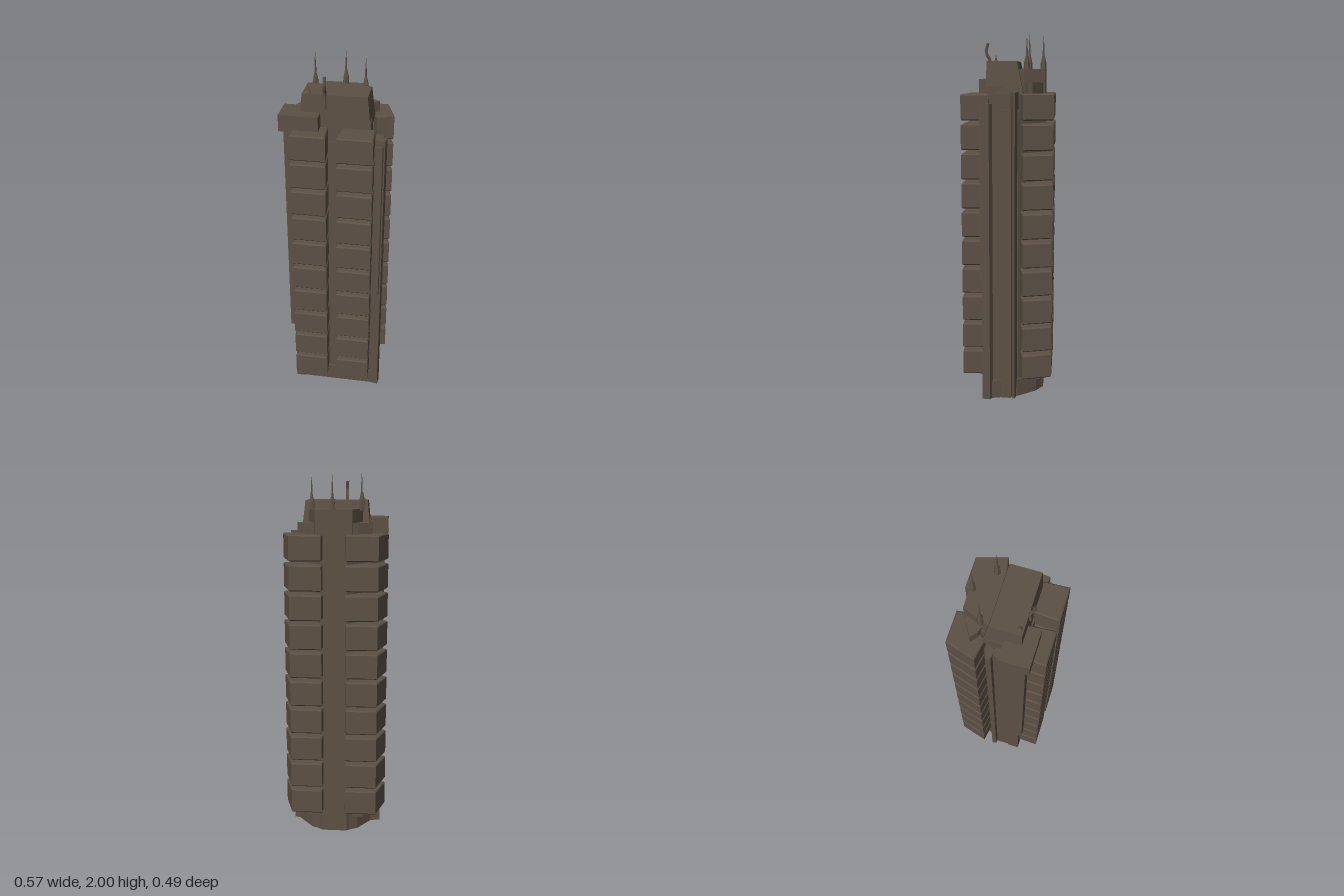
import * as THREE from 'three';

const stone = new THREE.MeshStandardMaterial({ color: 0x5c5045, flatShading: true });
stone.name = 'weathered brown';

// Vertical prism over a plan outline of [x, z] points, optionally bevelled
function prism(points, y0, y1, bevel = 0) {
  const shape = new THREE.Shape(points.map(([x, z]) => new THREE.Vector2(x, -z)));
  const g = new THREE.ExtrudeGeometry(shape, {
    depth: y1 - y0 - 2 * bevel, bevelEnabled: bevel > 0, bevelSegments: 1,
    bevelSize: bevel, bevelOffset: -bevel, bevelThickness: bevel,
  });
  g.rotateX(-Math.PI / 2);
  g.translate(0, y0 + bevel, 0);
  return g;
}

const rect = (x0, x1, z0, z1) => [[x0, z0], [x1, z0], [x1, z1], [x0, z1]];
const mirror = (points) => points.map(([x, z]) => [-x, z]).reverse();

// Move the vertices above a height by a rule
function reshapeAbove(g, y, rule) {
  const p = g.attributes.position;
  for (let i = 0; i < p.count; i++) {
    if (p.getY(i) > y) p.setXYZ(i, ...rule(p.getX(i), p.getY(i), p.getZ(i)));
  }
  g.computeVertexNormals();
  return g;
}

export function createModel() {
  const model = new THREE.Group();
  model.name = 'tower';
  const add = (name, geometry, parent = model) => {
    const mesh = new THREE.Mesh(geometry, stone);
    mesh.name = name;
    parent.add(mesh);
    return mesh;
  };

  // Main shaft with an angled back
  add('shaft', prism([[-0.21, 0.118], [0.22, 0.118], [0.2, -0.06], [0.15, -0.12],
    [0.07, -0.198], [-0.07, -0.198], [-0.15, -0.12], [-0.2, -0.06]], 0, 1.6));
  add('base', prism([[-0.232, 0.125], [0.262, 0.125], [0.21, -0.06], [0.13, -0.16],
    [0.06, -0.198], [-0.06, -0.198], [-0.13, -0.16], [-0.2, -0.06]], 0, 0.1));

  // Upper shaft, shoulders and crown
  add('upperShaft', prism([[-0.185, 0.11], [0.185, 0.11], [0.175, -0.05], [0.155, -0.08],
    [0.095, -0.198], [-0.09, -0.198], [-0.155, -0.08], [-0.185, -0.05]], 1.55, 1.72));
  add('rearCrown', prism([[-0.15, -0.04], [0.15, -0.04], [0.145, -0.085],
    [0.1, -0.198], [-0.095, -0.198], [-0.14, -0.085]], 1.68, 1.81));
  const shoulder = [[0.09, -0.19], [0.125, -0.18], [0.2, -0.135], [0.165, -0.105], [0.12, -0.09]];
  add('leftShoulder', prism(shoulder, 1.66, 1.74));
  add('rightShoulder', prism(mirror(shoulder), 1.66, 1.74));
  add('crown', reshapeAbove(prism(rect(-0.185, 0.183, -0.085, 0.114), 1.68, 1.85), 1.8,
    (x, y, z) => [x < 0 ? -0.168 : 0.166, y, z < 0 ? -0.05 : 0.11]));

  // Square block on the front right corner
  add('cornerBlock', prism(rect(-0.278, -0.074, 0.026, 0.18), 1.67, 1.757));

  // Four stacks of ten balcony pods
  const frontPod = [[0.026, 0.245], [0.214, 0.245], [0.207, 0.1], [0.036, 0.1]];
  const backPod = [[0.065, -0.248], [0.235, -0.248], [0.283, -0.09], [0.17, -0.07], [0.06, -0.2]];
  const stacks = [
    ['frontLeftPods', frontPod, 0.125],
    ['frontRightPods', mirror(frontPod), 0.125],
    ['backLeftPods', backPod, 0.128],
    ['backRightPods', mirror(backPod), 0.128],
  ];
  for (const [name, outline, start] of stacks) {
    const group = new THREE.Group();
    group.name = name;
    model.add(group);
    for (let i = 0; i < 10; i++) {
      const y = start + i * 0.1575;
      add('pod', prism(outline, y, y + 0.137, 0.006), group);
    }
  }

  // Small brackets below the lowest pods
  for (const x of [-0.13, 0.12]) {
    add('frontBracket', prism(rect(x - 0.03, x + 0.03, 0.1, 0.17), 0.105, 0.13));
    add('backBracket', prism(rect(x - 0.03, x + 0.03, -0.18, -0.12), 0.08, 0.13));
  }

  // Vertical ribs and pipes on both sides
  add('leftRearRib', prism([[0.18, -0.06], [0.245, -0.045], [0.247, -0.035], [0.2, -0.02]], 0, 1.69));
  add('leftMiddlePanel', prism(rect(0.18, 0.24, -0.025, 0.03), 0, 1.6));
  add('leftThinPanel', prism(rect(0.18, 0.222, 0.02, 0.1), 0, 1.59));
  add('leftFrontRib', prism([[0.2, 0.09], [0.24, 0.075], [0.268, 0.09], [0.262, 0.132], [0.21, 0.125]], 0, 1.63));
  add('leftFrontPipe', prism([[0.21, 0.12], [0.265, 0.1], [0.25, 0.143], [0.21, 0.143]], 0.68, 1.6));
  add('rightRearRib', prism([[-0.18, -0.06], [-0.2, -0.015], [-0.25, -0.02], [-0.255, -0.045]], 0, 1.66));
  add('rightMiddlePanel', prism(rect(-0.232, -0.18, -0.015, 0.06), 0, 1.66));
  add('rightFrontPanel', prism(rect(-0.258, -0.19, 0.06, 0.155), 0.42, 1.68));
  add('rightFrontFoot', prism(rect(-0.238, -0.19, 0.06, 0.13), 0, 0.42));

  // Roof antennas with flared feet
  const antenna = (x, z, y, tip) => {
    const h = tip - y;
    const g = new THREE.LatheGeometry([[0.018, 0], [0.015, 0.25 * h], [0.006, 0.45 * h],
      [0.004, 0.7 * h], [0.0005, h]].map((p) => new THREE.Vector2(...p)), 6);
    add('antenna', g).position.set(x, y, z);
  };
  antenna(-0.138, -0.1, 1.8, 2);
  antenna(0.126, -0.1, 1.8, 1.98);
  antenna(0.01, -0.184, 1.8, 1.985);
  antenna(-0.138, 0.09, 1.84, 1.89);

  // Bent mast on the front edge
  const bend = new THREE.CatmullRomCurve3([[-0.05, 1.78, 0.115], [-0.05, 1.86, 0.115],
    [-0.048, 1.9, 0.135], [-0.05, 1.95, 0.125]].map((p) => new THREE.Vector3(...p)));
  add('bentMast', new THREE.TubeGeometry(bend, 8, 0.009, 5));

  return model;
}
